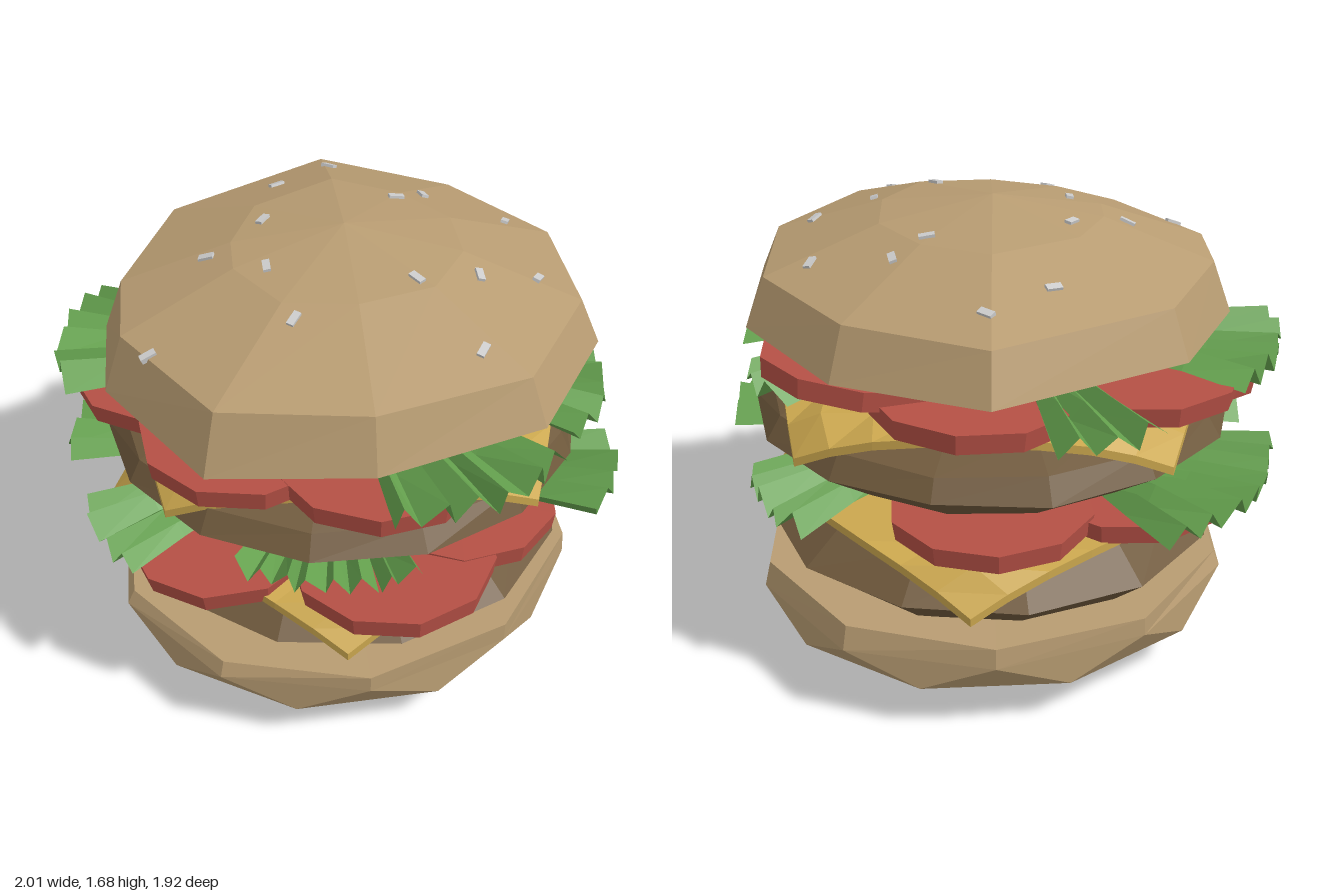
import * as THREE from 'three';

const mat = (color) => new THREE.MeshStandardMaterial({ color, flatShading: true, side: THREE.DoubleSide });
const CZ = -0.05; // the stack sits slightly behind the origin

let seed = 7;
const rand = () => (seed = (seed * 16807) % 2147483647) / 2147483647;
const jitter = (amount) => (rand() - 0.5) * 2 * amount;

// Faceted skin over rings ordered bottom to top, each with the same point count
function loft(rings) {
  const pos = [];
  for (let r = 0; r < rings.length - 1; r++) {
    const a = rings[r], b = rings[r + 1], n = a.length;
    for (let i = 0; i < n; i++) {
      const j = (i + 1) % n;
      pos.push(...a[i], ...b[i], ...a[j], ...a[j], ...b[i], ...b[j]);
    }
  }
  const g = new THREE.BufferGeometry();
  g.setAttribute('position', new THREE.Float32BufferAttribute(pos, 3));
  g.computeVertexNormals();
  return g;
}

function ring(n, radius, y, { depth = 1, turn = 0, wobble = 0, tilt = 0 } = {}) {
  return Array.from({ length: n }, (_, i) => {
    const a = ((i + turn) / n) * Math.PI * 2, r = radius * (1 + jitter(wobble));
    const z = Math.sin(a) * r * depth;
    return [Math.cos(a) * r, y + jitter(wobble * 0.4) - z * tilt, z + CZ];
  });
}

// Ribbed fan of lettuce with a ragged outer edge; angles in degrees from +x toward +z
function leafGeometry(from, to, radius, y, droop) {
  const ribs = Math.round((to - from) / 3.4), steps = 3, pos = [], index = [];
  for (let i = 0; i <= ribs; i++) {
    const a = THREE.MathUtils.degToRad(from + ((to - from) * i) / ribs + jitter(1.2));
    const reach = radius - 0.03 + Math.sin((i / ribs) * Math.PI) * 0.03 - rand() * 0.03;
    for (let k = 0; k <= steps; k++) {
      const t = k / steps, r = 0.25 + (reach - 0.25) * t;
      const wave = (i % 2 ? 1 : -1) * (0.012 + 0.024 * t) + jitter(0.012);
      pos.push(Math.cos(a) * r, y + wave - droop * t * t, Math.sin(a) * r);
    }
  }
  const w = steps + 1;
  for (let i = 0; i < ribs; i++) {
    for (let k = 0; k < steps; k++) {
      const a = i * w + k, b = a + w;
      index.push(a, b, a + 1, b, b + 1, a + 1);
    }
  }
  const g = new THREE.BufferGeometry();
  g.setAttribute('position', new THREE.Float32BufferAttribute(pos, 3));
  g.setIndex(index);
  g.computeVertexNormals();
  return g;
}

// Square slice whose corners bend down over the patty
function cheeseGeometry() {
  const g = new THREE.BoxGeometry(1.46, 0.03, 1.46, 8, 1, 8);
  const p = g.attributes.position;
  for (let i = 0; i < p.count; i++) {
    const x = p.getX(i), z = p.getZ(i), r = Math.hypot(x, z);
    const over = Math.max(0, r - 0.76), s = r > 0 ? (r - 0.54 * over) / r : 1;
    p.setXYZ(i, x * s, p.getY(i) - over * 0.5, z * s);
  }
  g.computeVertexNormals();
  return g;
}

export function createModel() {
  const model = new THREE.Group();
  const bun = mat(0xb89c72), meat = mat(0x705a3d), cheese = mat(0xcba74e);
  const tomato = mat(0xb55045), lettuce = mat(0x66a34f), grain = mat(0xcccccc);
  const add = (name, geometry, material, parent = model) => {
    const mesh = new THREE.Mesh(geometry, material);
    mesh.name = name;
    parent.add(mesh);
    return mesh;
  };

  // Bottom bun
  const oval = { depth: 1.07, wobble: 0.012 };
  add('bottomBun', loft([
    ring(10, 0, 0),
    ring(10, 0.45, 0.04, oval),
    ring(10, 0.8, 0.17, { ...oval, turn: 0.5, tilt: 0.01 }),
    ring(10, 0.84, 0.3, { ...oval, turn: 1 }),
    ring(10, 0.83, 0.37, { ...oval, turn: 1, tilt: 0.02 }),
    ring(10, 0, 0.36),
  ]), bun);

  // Patties
  const round = { wobble: 0.012, depth: 1.01 };
  add('lowerPatty', loft([
    ring(12, 0, 0.35), ring(12, 0.67, 0.36, round), ring(12, 0.82, 0.49, round),
    ring(12, 0.67, 0.62, round), ring(12, 0, 0.62),
  ]), meat);
  add('upperPatty', loft([
    ring(14, 0, 0.77), ring(14, 0.66, 0.78, round), ring(14, 0.86, 0.92, round),
    ring(14, 0.81, 1.0, round), ring(14, 0.65, 1.06, round), ring(14, 0, 1.06),
  ]), meat);

  // Cheese slices, the upper one turned to a diamond
  [['lowerCheese', 0.64, 0.03], ['upperCheese', 1.08, Math.PI / 4 + 0.06]].forEach(([name, y, turn]) => {
    const slice = add(name, cheeseGeometry(), cheese);
    slice.position.set(0, y, CZ);
    slice.rotation.y = turn;
  });

  // Tomato slices: x, y, z, tilt about x, tilt about z
  const slices = {
    lowerTomatoes: [
      [0, 0.65, 0.53, 0.09, 0], [0.55, 0.69, 0.25, 0, 0.02], [0.5, 0.7, -0.14, 0, 0],
      [-0.53, 0.69, 0.14, 0, -0.02], [-0.38, 0.7, -0.36, 0, 0],
    ],
    upperTomatoes: [
      [-0.42, 1.08, 0.4, 0.03, 0.04], [0.1, 1.13, 0.51, 0.02, 0], [0.5, 1.13, 0.28, 0, 0],
      [-0.55, 1.13, 0.15, 0, 0], [0, 1.18, -0.61, 0.18, 0], [-0.37, 1.14, -0.42, 0.04, 0],
    ],
  };
  for (const [name, list] of Object.entries(slices)) {
    const layer = new THREE.Group();
    layer.name = name;
    model.add(layer);
    list.forEach(([x, y, z, rx, rz], i) => {
      const slice = add('tomatoSlice', new THREE.CylinderGeometry(0.36, 0.35, 0.07, 10), tomato, layer);
      slice.position.set(x, y, z);
      slice.rotation.set(rx, i * 0.4, rz);
    });
  }

  // Lettuce leaves: start angle, end angle, reach, height, droop
  const leaves = {
    lowerLettuce: [
      [90, 118, 0.98, 0.77, 0.03], [130, 184, 1.02, 0.77, 0.01],
      [-50, -18, 1.06, 0.77, -0.03], [-95, -66, 0.98, 0.77, 0.07], [20, 70, 0.8, 0.76, 0],
    ],
    upperLettuce: [
      [-6, 34, 1.01, 1.2, 0], [122, 162, 1.0, 1.2, 0.01], [189, 212, 1.06, 1.2, 0],
      [-52, -16, 0.98, 1.2, 0.06], [50, 100, 0.74, 1.2, -0.02], [-88, -68, 0.96, 1.2, 0.05],
    ],
  };
  for (const [name, list] of Object.entries(leaves)) {
    const layer = new THREE.Group();
    layer.name = name;
    model.add(layer);
    list.forEach((args) => add('lettuceLeaf', leafGeometry(...args), lettuce, layer));
  }

  // Top bun: uneven rim rising to a low dome
  const rim = [
    [0.93, 1.32, -0.04], [0.69, 1.27, 0.48], [0.27, 1.22, 0.83], [-0.3, 1.24, 0.78], [-0.58, 1.27, 0.56],
    [-0.85, 1.3, 0.08], [-0.75, 1.31, -0.65], [-0.23, 1.28, -0.89], [0.32, 1.29, -0.87], [0.74, 1.32, -0.55],
  ];
  const scaled = (s, y) => rim.map(([x, ry, z]) => [x * s, y + (ry - 1.28) * 0.5 * s, (z - CZ) * s + CZ]);
  const topBun = add('topBun', loft([
    scaled(0, 1.23), scaled(0.85, 1.23), rim, scaled(0.92, 1.46), scaled(0.46, 1.61), scaled(0, 1.68),
  ]), bun);

  // Seeds laid flat on the dome
  const spots = [
    [-0.55, -0.51], [-0.08, -0.53], [0.19, -0.68], [0.54, -0.44], [-0.08, -0.39], [-0.55, -0.24], [0.45, -0.24],
    [0.36, -0.03], [0.69, 0.01], [-0.28, 0.07], [-0.05, 0.26], [-0.29, 0.32], [0.2, 0.37], [-0.12, 0.72],
  ];
  const seeds = new THREE.Group();
  seeds.name = 'seeds';
  model.add(seeds);
  const up = new THREE.Vector3(0, 1, 0), ray = new THREE.Raycaster();
  for (const [x, z] of spots) {
    ray.set(new THREE.Vector3(x, 3, z), new THREE.Vector3(0, -1, 0));
    const hit = ray.intersectObject(topBun)[0];
    const grainMesh = add('seed', new THREE.BoxGeometry(0.055, 0.02, 0.026), grain, seeds);
    grainMesh.position.copy(hit.point);
    grainMesh.quaternion.setFromUnitVectors(up, hit.face.normal);
    grainMesh.rotateY(rand() * Math.PI);
  }
  return model;
}
